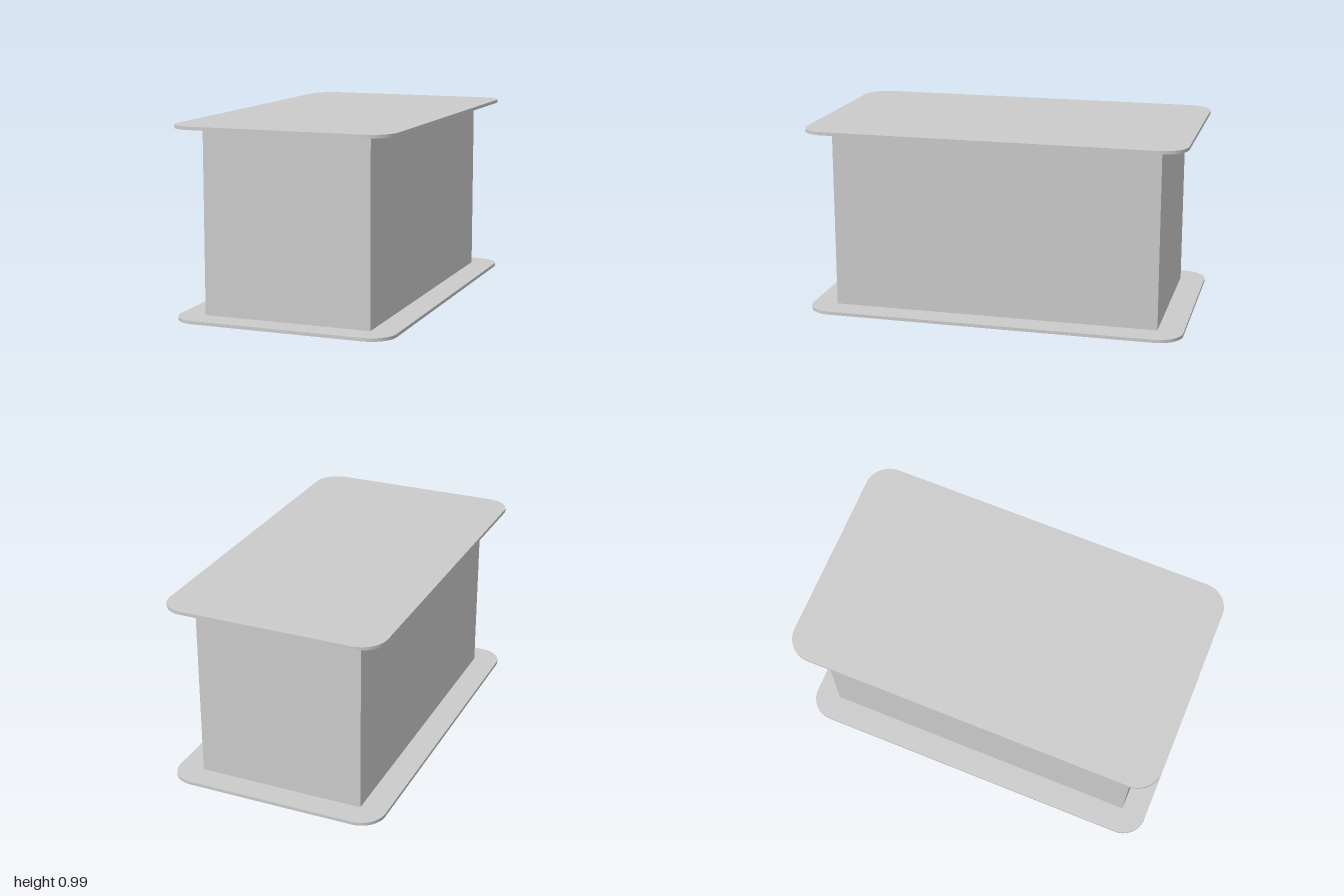
import * as THREE from 'three';

const HEIGHT = 0.988, PLATE = 0.017;

// Flat rounded-rectangle plate lying in the xz plane, its underside at y = 0
function plateGeometry(halfX, halfZ, radius) {
  const shape = new THREE.Shape();
  const x = halfX - radius, z = halfZ - radius, q = Math.PI / 2;
  [[x, z], [-x, z], [-x, -z], [x, -z]].forEach(([cx, cz], i) =>
    shape.absarc(cx, cz, radius, i * q, (i + 1) * q, false));
  shape.closePath();
  const geometry = new THREE.ExtrudeGeometry(shape, { depth: PLATE, bevelEnabled: false, curveSegments: 8 });
  return geometry.rotateX(-Math.PI / 2);
}

export function createModel() {
  const group = new THREE.Group();
  const material = new THREE.MeshStandardMaterial({ color: 0xcccccc, flatShading: true });

  const add = (name, geometry, y) => {
    const mesh = new THREE.Mesh(geometry, material);
    mesh.name = name;
    mesh.position.y = y;
    group.add(mesh);
  };

  // Overhanging plates at both ends
  const plate = plateGeometry(0.58, 1, 0.13);
  add('bottomPlate', plate, 0);
  add('topPlate', plate, HEIGHT - PLATE);

  // Rectangular core between the plates
  add('core', new THREE.BoxGeometry(0.887, HEIGHT - 2 * PLATE, 1.732), HEIGHT / 2);

  return group;
}
